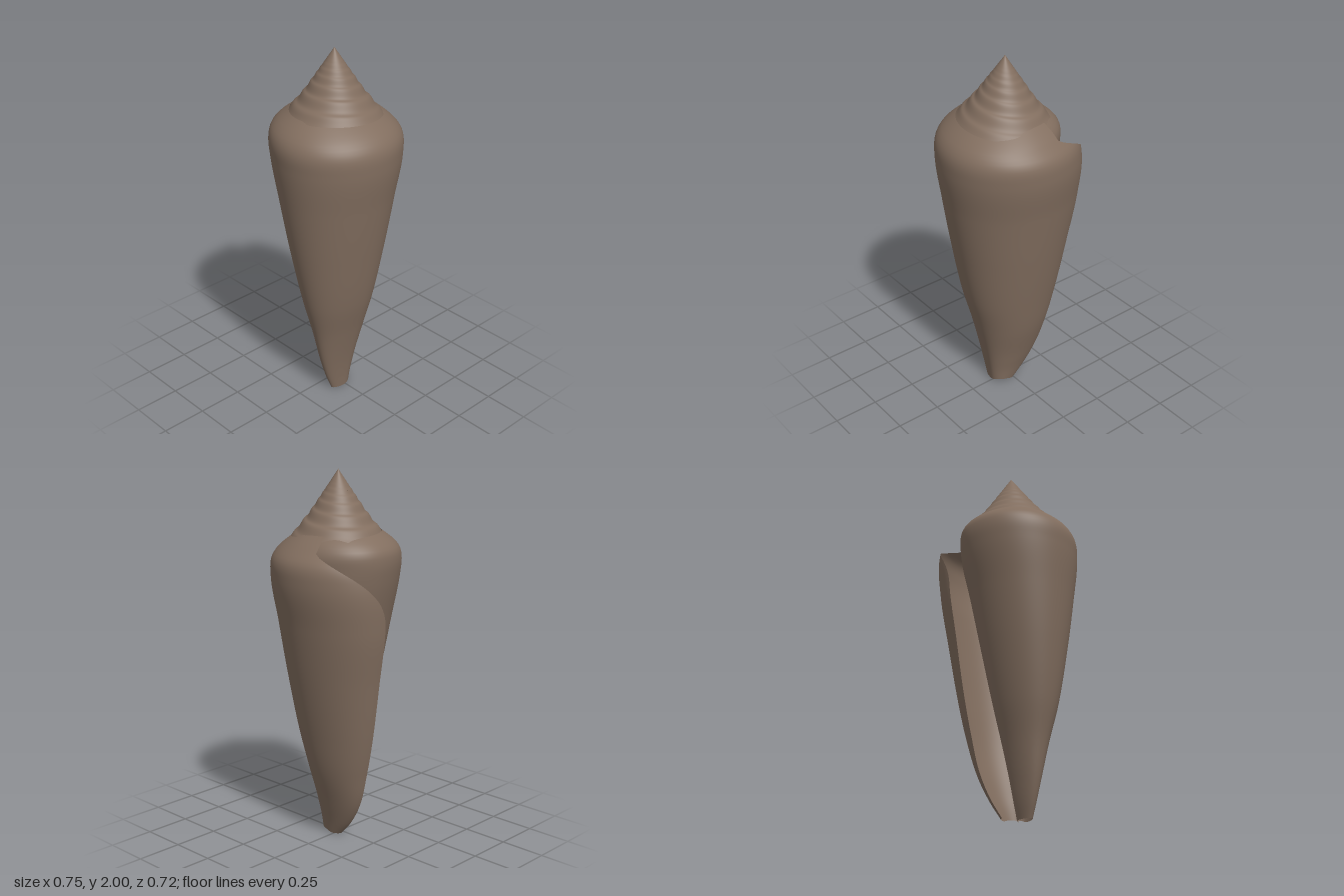
import * as THREE from 'three';
import { mergeVertices } from 'three/addons/utils/BufferGeometryUtils.js';

const Q = Math.PI / 2;
const { clamp, smoothstep } = THREE.MathUtils;

// Growth sections: height -> reach of the coil on the inner left, right, front, back and lip
const heights = [0, 0.08, 0.2, 0.4, 0.6, 0.92, 1.21, 1.45, 1.55, 1.6, 1.64, 1.68];
const reach = [
  -0.05, 0.11, 0.08, 0.06, 0.03,
  -0.03, 0.12, 0.11, 0.08, 0.1,
  -0.005, 0.14, 0.145, 0.115, 0.17,
  0.038, 0.185, 0.19, 0.175, 0.228,
  0.09, 0.237, 0.24, 0.218, 0.272,
  0.165, 0.295, 0.297, 0.278, 0.325,
  0.23, 0.34, 0.335, 0.325, 0.37,
  0.285, 0.372, 0.359, 0.36, 0.37,
  0.295, 0.364, 0.358, 0.347, 0.335,
  0.285, 0.333, 0.335, 0.305, 0.285,
  0.25, 0.285, 0.295, 0.262, 0.25,
  0.195, 0.225, 0.24, 0.21, 0.2,
];
const sections = new THREE.CubicInterpolant(heights, reach, 5, []);
// Spire profile: radius -> height
const spireLine = new THREE.CubicInterpolant(
  [0, 0.05, 0.1, 0.15, 0.2, 0.25], [2, 1.925, 1.85, 1.775, 1.712, 1.65], 1, []);

// Smooth surface over a grid of (u, v) in 0..1
function sheet(nu, nv, point) {
  const pos = [], index = [];
  for (let j = 0; j <= nv; j++) {
    for (let i = 0; i <= nu; i++) pos.push(...point(i / nu, j / nv));
  }
  for (let j = 0; j < nv; j++) {
    for (let i = 0; i < nu; i++) {
      const a = j * (nu + 1) + i, b = a + 1, c = a + nu + 1, d = c + 1;
      index.push(a, b, d, a, d, c);
    }
  }
  const raw = new THREE.BufferGeometry();
  raw.setAttribute('position', new THREE.Float32BufferAttribute(pos, 3));
  raw.setIndex(index);
  const geometry = mergeVertices(raw, 1e-5);
  geometry.computeVertexNormals();
  return geometry;
}

// Point on the coil, joined from quarter ellipses; the turn runs left, front, right, back, lip
function coil(turn, y) {
  const [a, r, f, b, l] = sections.evaluate(y);
  const mid = (r - a) / 2;
  // the inner turn tightens like the turn outside it, and meets the spire at the top
  const inner = b * (a + mid) / f * (0.78 + 0.18 * smoothstep(y, 1.5, 1.68));
  const knots = [
    [mid, -inner], [-a, 0.02], [mid, f], [r, 0], [(r - l) / 2, -b], [-l, -0.02 - 0.03 * y],
  ];
  const k = Math.min(3, Math.floor(turn / Q));
  const t = turn - k * Q;
  const A = knots[k + 1], B = knots[k + 2];
  const s = Math.sin(t), c = Math.cos(t);
  return k % 2 === 0
    ? [B[0] + (A[0] - B[0]) * c, A[1] + (B[1] - A[1]) * s]
    : [A[0] + (B[0] - A[0]) * s, B[1] + (A[1] - B[1]) * c];
}

export function createModel() {
  const group = new THREE.Group();
  const shell = new THREE.MeshStandardMaterial({ color: 0x826e5f, side: THREE.DoubleSide });
  shell.name = 'brown shell';

  // Body whorl: an open rolled sheet, its free lip cut back towards the shoulder notch
  const body = new THREE.Mesh(sheet(150, 90, (u, v) => {
    const y = v * 1.68;
    const cut = clamp((y - 1.22) / 0.38, 0, 1) ** 2.1;
    const end = 4 * Q - cut * 1.15;
    const turn = -Q + u * (end + Q);
    const [x, z] = coil(turn, y);
    // shallow notch in the rim of the narrow end
    const arch = Math.exp(-(((turn - 2.6 * Q) / 0.8) ** 4)) * Math.max(0, 1 - y / 0.15);
    return [x, y + 0.015 * arch, z];
  }), shell);
  body.name = 'bodyWhorl';
  group.add(body);

  // Spire: a slightly tilted cone with soft spiral steps, drawn in above the shoulder notch
  const spire = new THREE.Mesh(sheet(96, 60, (u, v) => {
    const turn = u * 4 * Q;
    const r = v * (0.25 - 0.03 * Math.exp(-(((u - 0.86) / 0.07) ** 2)));
    const phase = Math.log(Math.max(r, 0.01)) / Math.log(1.32) - u;
    const fade = smoothstep(r, 0.02, 0.16) * Math.min(1, (1 - v) / 0.12);
    const step = 0.005 * fade * Math.sin(phase * 4 * Q);
    const x = -Math.cos(turn) * r, z = Math.sin(turn) * r;
    return [x + 0.015, spireLine.evaluate(r)[0] + step + 0.07 * (x + z), z];
  }), shell);
  spire.name = 'spire';
  group.add(spire);

  return group;
}
